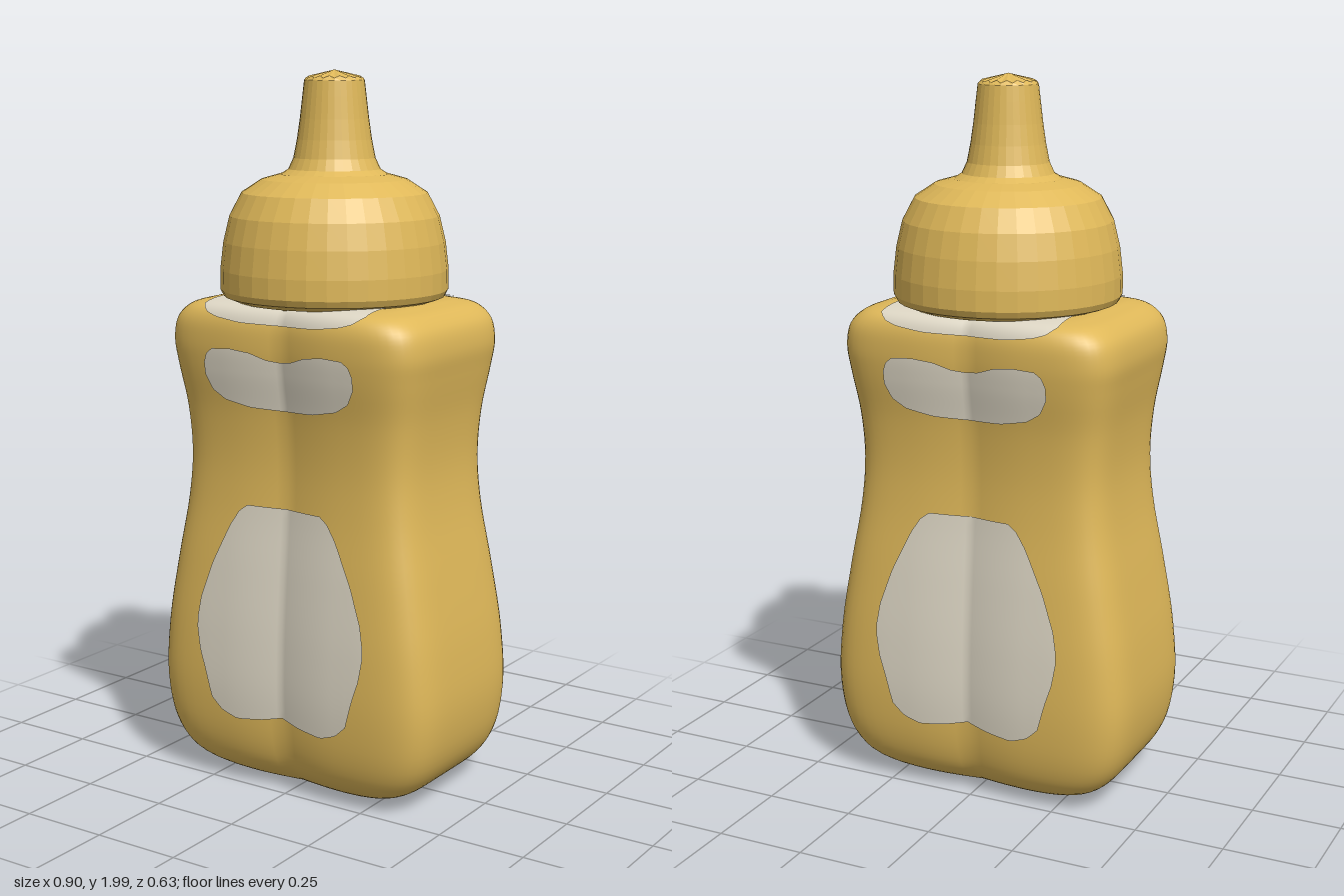
import * as THREE from 'three';

const gold = new THREE.MeshStandardMaterial({ color: 0xdfb859 });
gold.name = 'mustardGold';
const cream = new THREE.MeshStandardMaterial({ color: 0xded7c5 });
cream.name = 'labelCream';

// Bottle levels from the base up: half width, height, half depth
const levels = [
  [0.02, 0.012, 0.02], [0.17, 0.014, 0.13], [0.28, 0.025, 0.18], [0.375, 0.075, 0.242], [0.425, 0.15, 0.27],
  [0.449, 0.28, 0.284], [0.44, 0.45, 0.282], [0.41, 0.64, 0.268], [0.378, 0.82, 0.251],
  [0.367, 0.95, 0.247], [0.374, 1.08, 0.256], [0.393, 1.2, 0.276], [0.402, 1.27, 0.283],
  [0.39, 1.33, 0.28], [0.355, 1.366, 0.262], [0.31, 1.381, 0.22], [0.28, 1.386, 0.12],
];
const outline = new THREE.CatmullRomCurve3(levels.map((l) => new THREE.Vector3(...l)));
const POWER = 6;

// Shallow groove running down the middle of front and back
const groove = (x) => 1 - 0.085 * Math.max(0, 1 - Math.abs(x) / 0.18) ** 2;

// Parameter of the outline at a given height
function levelAt(y) {
  let a = 0, b = 1;
  for (let i = 0; i < 30; i++) {
    const m = (a + b) / 2;
    if (outline.getPoint(m).y < y) a = m; else b = m;
  }
  return a;
}

// Point on the front half of the bottle
function frontPoint(x, t) {
  const p = outline.getPoint(t);
  const k = Math.max(0, 1 - Math.abs(x / p.x) ** POWER) ** (1 / POWER);
  return new THREE.Vector3(x, p.y, p.z * k * groove(x));
}

function buildGeometry(positions, index) {
  const g = new THREE.BufferGeometry();
  g.setAttribute('position', new THREE.Float32BufferAttribute(positions, 3));
  g.setIndex(index);
  g.computeVertexNormals();
  return g;
}

// Rounded-rectangle loft, closed at both ends
function bottleGeometry() {
  const rows = 80, perSide = 24, n = perSide * 4;
  const pos = [], idx = [];
  for (let r = 0; r <= rows; r++) {
    const p = outline.getPoint(r / rows);
    for (let i = 0; i < n; i++) {
      const s = (i % perSide) / perSide * 2 - 1;
      const [cx, cz] = [[s, 1], [1, -s], [-s, -1], [-1, s]][Math.floor(i / perSide)];
      const k = (Math.abs(cx) ** POWER + Math.abs(cz) ** POWER) ** (-1 / POWER);
      const x = p.x * cx * k;
      pos.push(x, p.y, p.z * cz * k * (Math.abs(cz) === 1 ? groove(x) : 1));
    }
  }
  for (let r = 0; r < rows; r++) {
    for (let i = 0; i < n; i++) {
      const a = r * n + i, b = r * n + (i + 1) % n;
      idx.push(a, b, b + n, a, b + n, a + n);
    }
  }
  const bottom = pos.length / 3, top = bottom + 1, last = rows * n;
  pos.push(0, levels[0][1], 0, 0, levels[levels.length - 1][1], 0);
  for (let i = 0; i < n; i++) {
    const j = (i + 1) % n;
    idx.push(bottom, j, i, top, last + i, last + j);
  }
  return buildGeometry(pos, idx);
}

// Interpolated y at |x| along a list of [x, y] points
function heightOn(points, x) {
  for (let i = 1; i < points.length; i++) {
    const [x0, y0] = points[i - 1], [x1, y1] = points[i];
    if (x <= x1) return y0 + (y1 - y0) * (x - x0) / (x1 - x0);
  }
  return points[points.length - 1][1];
}

// Thin patch hugging the bottle between a lower and an upper edge
function patchGeometry(low, high) {
  const cols = 56, rows = 20, half = low[low.length - 1][0], e = 0.002;
  const pos = [], idx = [];
  for (let c = 0; c <= cols; c++) {
    const x = half * Math.sin((c / cols - 0.5) * Math.PI);
    const t0 = levelAt(heightOn(low, Math.abs(x))), t1 = levelAt(heightOn(high, Math.abs(x)));
    for (let r = 0; r <= rows; r++) {
      const t = t0 + (t1 - t0) * r / rows;
      const p = frontPoint(x, t);
      const du = frontPoint(x + e, t).sub(frontPoint(x - e, t));
      const dv = frontPoint(x, Math.min(1, t + e)).sub(frontPoint(x, t - e));
      p.addScaledVector(du.cross(dv).normalize(), 0.004);
      pos.push(p.x, p.y, p.z);
      if (c < cols && r < rows) {
        const a = c * (rows + 1) + r, b = a + rows + 1;
        idx.push(a, b, b + 1, a, b + 1, a + 1);
      }
    }
  }
  return buildGeometry(pos, idx);
}

// Faceted turned part
function turned(profile, segments, adjust) {
  const lathe = new THREE.LatheGeometry(profile.map((p) => new THREE.Vector2(...p)), segments);
  if (adjust) adjust(lathe.attributes.position, profile.length);
  const g = lathe.toNonIndexed();
  g.computeVertexNormals();
  return g;
}

export function createModel() {
  const model = new THREE.Group();
  model.name = 'squeezeBottle';
  const add = (name, geometry, material, parent = model) => {
    const mesh = new THREE.Mesh(geometry, material);
    mesh.name = name;
    parent.add(mesh);
    return mesh;
  };

  add('bottleBody', bottleGeometry(), gold);

  // Cream patches, the same on front and back
  const patches = {
    bellyPatch: patchGeometry(
      [[0, 0.238], [0.06, 0.225], [0.14, 0.215], [0.19, 0.232], [0.225, 0.265], [0.245, 0.34], [0.265, 0.4], [0.275, 0.46]],
      [[0, 0.828], [0.12, 0.828], [0.145, 0.81], [0.175, 0.765], [0.23, 0.65], [0.265, 0.55], [0.275, 0.49]]),
    shoulderPatch: patchGeometry(
      [[0, 1.1], [0.1, 1.104], [0.18, 1.12], [0.22, 1.145], [0.24, 1.185]],
      [[0, 1.235], [0.04, 1.24], [0.09, 1.257], [0.15, 1.264], [0.21, 1.26], [0.23, 1.245], [0.24, 1.22]]),
    topPatch: patchGeometry(
      [[0, 1.332], [0.12, 1.335], [0.2, 1.345], [0.235, 1.355], [0.26, 1.372]],
      [[0, 1.3855], [0.26, 1.3855]]),
  };
  for (const side of ['front', 'back']) {
    const group = new THREE.Group();
    group.name = side + 'Patches';
    group.rotation.y = side === 'back' ? Math.PI : 0;
    for (const [name, geometry] of Object.entries(patches)) add(name, geometry, cream, group);
    model.add(group);
  }

  add('neck', new THREE.CylinderGeometry(0.24, 0.24, 0.06, 32).translate(0, 1.39, 0), gold);

  // Domed screw cap
  add('cap', turned([
    [0, 1.385], [0.27, 1.378], [0.305, 1.392], [0.314, 1.41], [0.314, 1.465], [0.305, 1.54], [0.288, 1.61],
    [0.255, 1.672], [0.2, 1.708], [0.15, 1.722], [0, 1.722],
  ], 36), gold);

  // Tapered nozzle
  add('nozzle', turned([
    [0.15, 1.72], [0.126, 1.735], [0.112, 1.765], [0.102, 1.815], [0.094, 1.87], [0.087, 1.93], [0.082, 1.972],
  ], 32), gold);

  // Pointed tip with a zigzag rim
  add('nozzleTip', turned([[0.082, 1.972], [0.07, 1.984], [0, 2]], 32, (pos, rings) => {
    for (let i = 0; i < pos.count; i++) {
      if (i % rings === 1 && Math.floor(i / rings) % 2) {
        pos.setXYZ(i, pos.getX(i) * 1.12, 1.978, pos.getZ(i) * 1.12);
      }
    }
  }), gold);

  return model;
}
